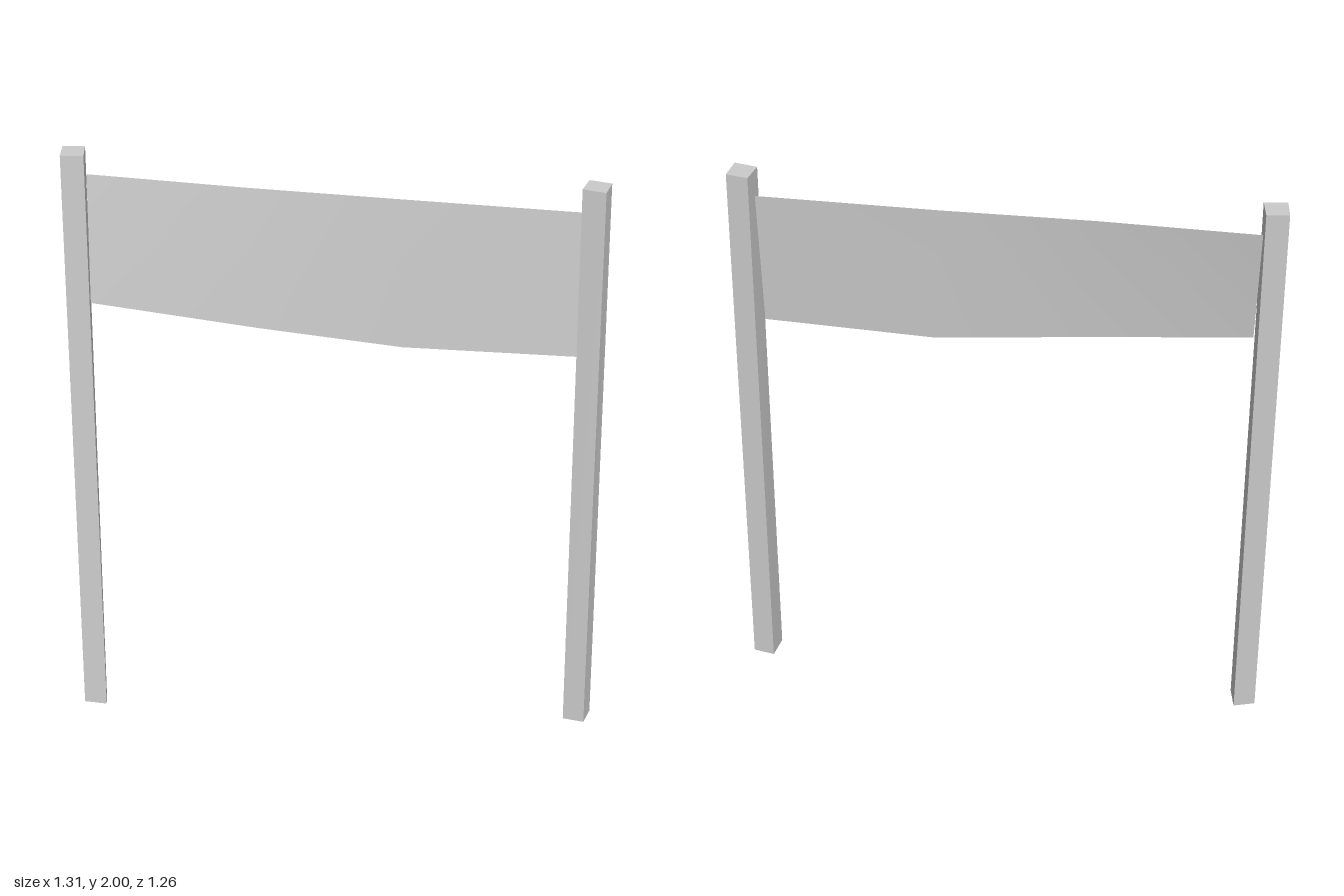
import * as THREE from 'three';

const grey = new THREE.MeshStandardMaterial({ color: 0xcccccc, flatShading: true });
const sheet = new THREE.MeshStandardMaterial({ color: 0xcccccc, side: THREE.DoubleSide });

// Four-sided post between a foot and a head; corners run left, front, right, back as [x, y, z]
function makePost(name, foot, head) {
  const geo = new THREE.BoxGeometry(1, 1, 1);
  const pos = geo.attributes.position;
  for (let i = 0; i < pos.count; i++) {
    const corner = pos.getZ(i) > 0 ? (pos.getX(i) < 0 ? 0 : 1) : (pos.getX(i) > 0 ? 2 : 3);
    pos.setXYZ(i, ...(pos.getY(i) > 0 ? head : foot)[corner]);
  }
  geo.computeVertexNormals();
  const post = new THREE.Mesh(geo, grey);
  post.name = name;
  return post;
}

// Thin sheet stretched between a top edge and a bottom edge
function makePanel(top, bottom) {
  const n = top.length;
  const geo = new THREE.PlaneGeometry(1, 1, n - 1, 1);
  [...top, ...bottom].forEach((p, i) => geo.attributes.position.setXYZ(i, ...p));
  geo.computeVertexNormals();
  const panel = new THREE.Mesh(geo, sheet);
  panel.name = 'panel';
  return panel;
}

export function createModel() {
  const group = new THREE.Group();
  group.name = 'signFrame';

  // Leaning posts, the left one set higher
  group.add(makePost('rightPost',
    [[-0.655, 0.017, -0.511], [-0.596, 0.008, -0.468], [-0.56, 0, -0.527], [-0.617, 0.01, -0.568]],
    [[-0.605, 2, -0.575], [-0.547, 2, -0.531], [-0.505, 2, -0.592], [-0.562, 2, -0.633]]));
  group.add(makePost('leftPost',
    [[0.545, 0.092, 0.573], [0.586, 0.094, 0.63], [0.647, 0.09, 0.588], [0.606, 0.088, 0.531]],
    [[0.553, 2, 0.528], [0.594, 2, 0.59], [0.652, 2, 0.547], [0.612, 2, 0.489]]));

  // Slightly twisted panel between the posts
  group.add(makePanel(
    [[-0.517, 1.917, -0.571], [-0.17, 1.915, -0.215], [0.17, 1.912, 0.115], [0.575, 1.912, 0.515]],
    [[-0.555, 1.505, -0.515], [-0.17, 1.459, -0.147], [0.165, 1.423, 0.16], [0.565, 1.44, 0.557]]));

  return group;
}
